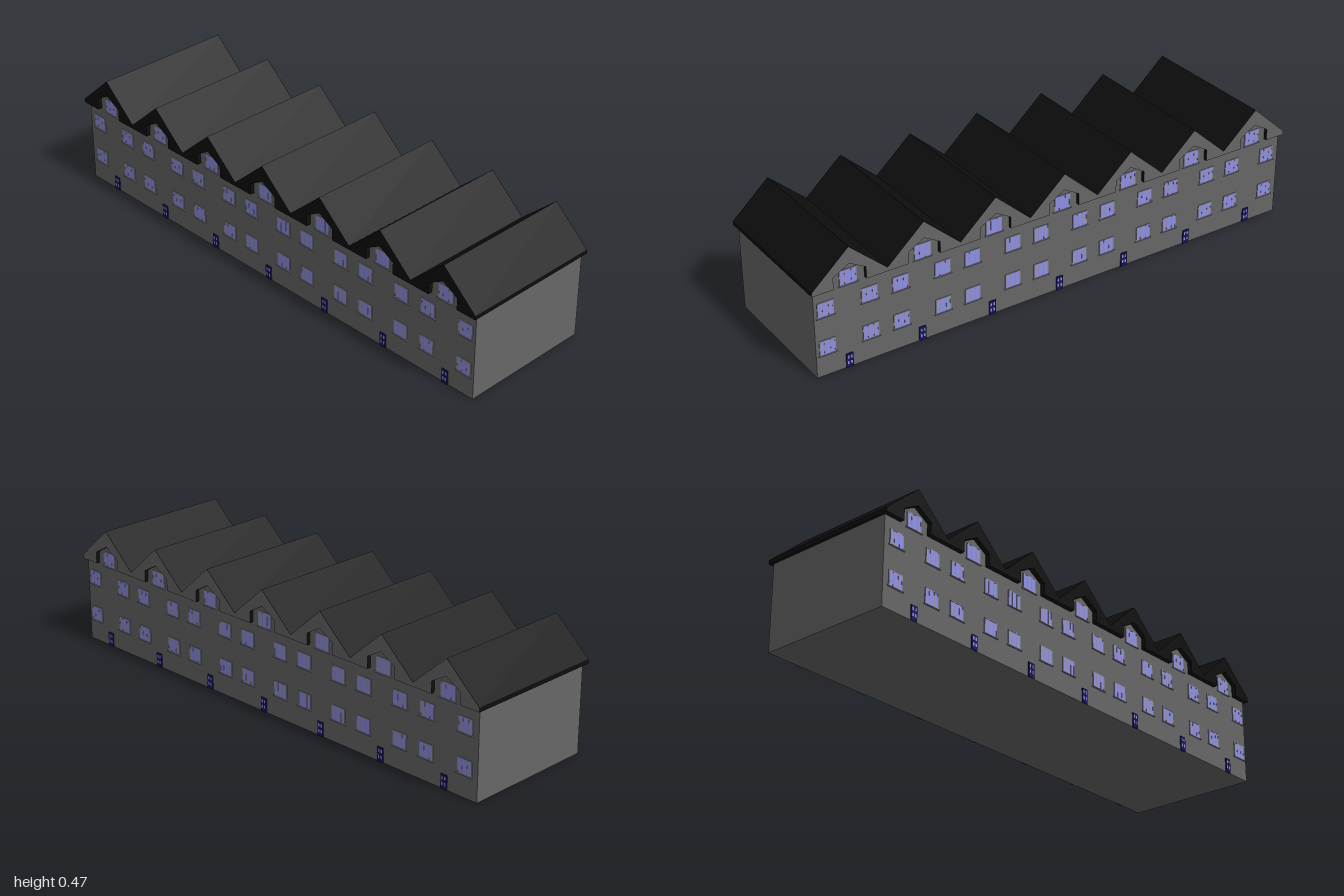
import * as THREE from 'three';

const mat = (color, side = THREE.FrontSide) => new THREE.MeshStandardMaterial({ color, side });
const wallMat = mat(0x666666), roofMat = mat(0x0e0e0e), glassMat = mat(0x9090e0);
const frameMat = mat(0x8c8c96), doorMat = mat(0x14145a);
const gableMat = mat(0x666666, THREE.DoubleSide);

const BAYS = 7, BAY = 2 / BAYS, HALF = BAY / 2;
const EAVE = 0.33, VALLEY = 0.345, PEAK = 0.473;
const WALL_X = 0.262, ROOF_X = 0.278, SHIFT = 0.002;
const bayCentre = i => -1 + BAY * (i + 0.5);

function addBox(parent, name, size, pos, material) {
  const m = new THREE.Mesh(new THREE.BoxGeometry(...size), material);
  m.name = name;
  m.position.set(...pos);
  parent.add(m);
  return m;
}

// Saw-tooth outline (horizontal = length of the row); the underside may be notched
function rowShape(end, base, drop, notched) {
  const s = new THREE.Shape();
  s.moveTo(-end, base);
  if (notched) for (let i = 0; i < BAYS; i++) {
    const c = bayCentre(i);
    [[-0.062, EAVE], [-0.062, 0.375], [0, 0.41], [0.062, 0.375], [0.062, EAVE]]
      .forEach(([u, y]) => s.lineTo(c + u, y));
  }
  s.lineTo(end, base);
  s.lineTo(end, VALLEY - drop);
  for (let i = BAYS - 1; i >= 0; i--) {
    s.lineTo(bayCentre(i), PEAK - drop);
    s.lineTo(i ? bayCentre(i) - HALF : -end, VALLEY - drop);
  }
  return s;
}

// Extrude an outline across the building, centred on x
function across(shape, halfWidth) {
  const g = new THREE.ExtrudeGeometry(shape, { depth: halfWidth * 2, bevelEnabled: false });
  g.translate(0, 0, -halfWidth);
  g.rotateY(Math.PI / 2);
  return g;
}

// Window facing +x, centred on its own origin, with its back on the wall
function makeWindow(w, h, name) {
  const g = new THREE.Group();
  g.name = name;
  addBox(g, 'glass', [0.003, h, w], [0.0005, 0, 0], glassMat);
  for (const s of [-1, 1]) {
    addBox(g, 'frameSide', [0.004, h, 0.004], [0.0005, 0, s * w / 2], frameMat);
    addBox(g, 'mullion', [0.004, h, 0.002], [0.0005, 0, s * w * 0.2], frameMat);
  }
  addBox(g, 'frameTop', [0.004, 0.003, w + 0.004], [0.0005, h / 2, 0], frameMat);
  addBox(g, 'sill', [0.008, 0.003, w + 0.014], [0.001, -h / 2, 0], frameMat);
  return g;
}

// Front door with two glazed panels and a handle
function makeDoor() {
  const g = new THREE.Group();
  g.name = 'door';
  addBox(g, 'doorLeaf', [0.008, 0.055, 0.027], [0, 0.0275, 0], doorMat);
  for (const s of [-1, 1]) for (const y of [0.02, 0.042])
    addBox(g, 'doorPane', [0.009, 0.012, 0.006], [0, y, s * 0.006], glassMat);
  addBox(g, 'doorHandle', [0.014, 0.002, 0.003], [0, 0.029, 0.011], frameMat);
  return g;
}

// All openings of one long facade, built facing +x
function makeFacade() {
  const g = new THREE.Group();
  g.name = 'facade';
  for (let i = 0; i < BAYS; i++) {
    const c = bayCentre(i);
    const put = (o, y, z) => { o.position.set(WALL_X, y, c + z); g.add(o); };
    for (const y of [0.11, 0.258])
      for (const z of [0.089, -0.077]) put(makeWindow(0.058, 0.057, 'window'), y, z);
    put(makeWindow(0.062, 0.058, 'gableWindow'), 0.353, 0);
    put(makeDoor(), 0, 0.009);
  }
  return g;
}

export function createModel() {
  const model = new THREE.Group();
  model.name = 'terracedHouses';

  // Solid walls, rising inside the roof to close the gable recesses
  const walls = new THREE.Mesh(across(rowShape(0.99, 0, 0.012, false), WALL_X), wallMat);
  walls.name = 'walls';
  walls.position.x = SHIFT;
  model.add(walls);

  // Dark roof with arched recesses under each gable
  const roofShape = rowShape(1, EAVE, 0, true);
  const roof = new THREE.Mesh(across(roofShape, ROOF_X), roofMat);
  roof.name = 'roof';
  model.add(roof);

  // Grey facing on the gables of the right-hand view side
  const facing = new THREE.Mesh(new THREE.ShapeGeometry(roofShape).rotateY(Math.PI / 2), gableMat);
  facing.name = 'gableFacing';
  facing.position.x = ROOF_X + 0.0008;
  model.add(facing);

  // Facades on both long sides; the far side is turned with its bays reversed
  const right = makeFacade();
  right.position.x = SHIFT;
  model.add(right);
  const left = makeFacade();
  for (const part of left.children) {
    part.position.x = -WALL_X;
    part.rotation.y = Math.PI;
  }
  left.position.x = SHIFT;
  model.add(left);

  return model;
}
